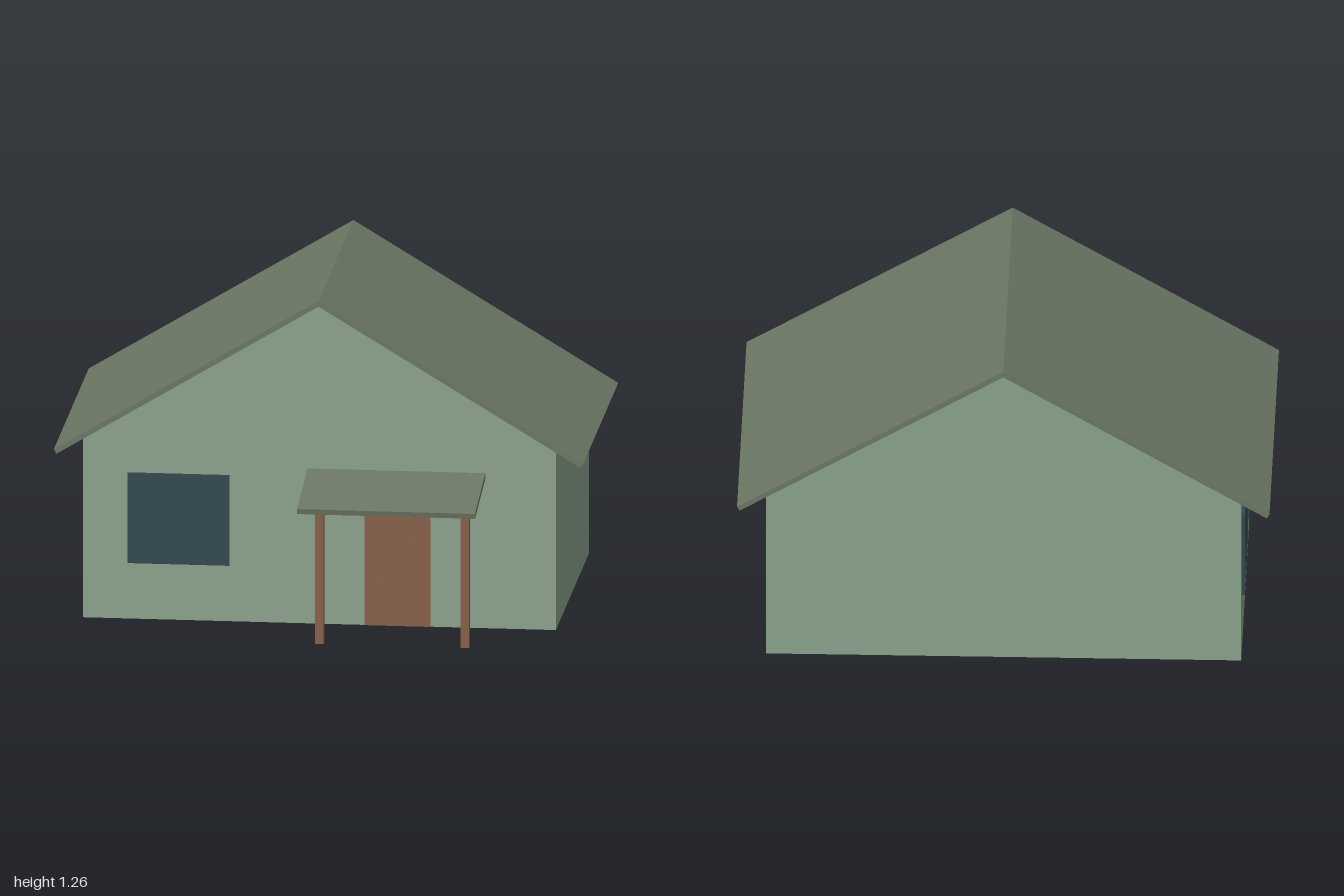
import * as THREE from 'three';

const material = (name, color) => {
  const m = new THREE.MeshStandardMaterial({ color });
  m.name = name;
  return m;
};

export function createModel() {
  const house = new THREE.Group();
  house.name = 'house';
  const wallPaint = material('sage wall', 0x8aa28b);
  const roofing = material('olive roofing', 0x6b7764);
  const wood = material('brown wood', 0x865f48);
  const glass = material('dark window', 0x2e474d);

  const add = (parent, name, geometry, mat) => {
    const mesh = new THREE.Mesh(geometry, mat);
    mesh.name = name;
    parent.add(mesh);
    return mesh;
  };

  // Box given by its minimum and maximum corners
  const box = (parent, name, [x0, y0, z0], [x1, y1, z1], mat) => {
    const mesh = add(parent, name, new THREE.BoxGeometry(x1 - x0, y1 - y0, z1 - z0), mat);
    mesh.position.set((x0 + x1) / 2, (y0 + y1) / 2, (z0 + z1) / 2);
    return mesh;
  };

  // Straight prism along z from an outline in x and y
  const prism = (points, z0, z1) => {
    const shape = new THREE.Shape(points.map(([x, y]) => new THREE.Vector2(x, y)));
    return new THREE.ExtrudeGeometry(shape, { depth: z1 - z0, bevelEnabled: false }).translate(0, 0, z0);
  };

  // Walls with gables and floor
  add(house, 'walls', prism([
    [-0.893, 0], [0.893, 0], [0.893, 0.7], [0, 1.237], [-0.893, 0.7],
  ], -0.745, 0.41), wallPaint);

  // Gabled roof
  add(house, 'mainRoof', prism([
    [0, 1.26], [-1, 0.656], [-0.99, 0.639], [0, 1.237], [0.99, 0.639], [1, 0.656],
  ], -0.776, 0.44), roofing);

  // Porch: sloping roof on two posts
  const porch = new THREE.Group();
  porch.name = 'porch';
  house.add(porch);
  const porchRoof = prism([
    [-0.41, 0.601], [-0.775, 0.537], [-0.771, 0.517], [-0.41, 0.581],
  ], -0.045, 0.627);
  add(porch, 'porchRoof', porchRoof.rotateY(Math.PI / 2).translate(0, 0, 0), roofing);
  for (const x of [0.033, 0.582]) {
    box(porch, 'porchPost', [x - 0.016, 0, 0.68], [x + 0.016, 0.536, 0.712], wood);
  }

  // Six-panel door
  const door = new THREE.Group();
  door.name = 'door';
  house.add(door);
  box(door, 'doorLeaf', [0.17, 0, 0.408], [0.42, 0.477, 0.414], wood);
  for (const x of [0.2, 0.312]) {
    for (const [y0, y1] of [[0.03, 0.18], [0.21, 0.35], [0.37, 0.45]]) {
      box(door, 'doorPanel', [x, y0, 0.413], [x + 0.08, y1, 0.416], wood);
    }
  }

  // Window built facing +z around its centre
  const makeWindow = (name, width, height) => {
    const win = new THREE.Group();
    win.name = name;
    const w = width / 2, h = height / 2;
    box(win, 'pane', [-w, -h, -0.002], [w, h, 0.007], glass);
    for (const s of [-1, 1]) {
      box(win, 'sideRail', [s * (w - 0.01) - 0.01, -h, 0], [s * (w - 0.01) + 0.01, h, 0.009], glass);
      box(win, 'crossRail', [-w, s * (h - 0.01) - 0.01, 0], [w, s * (h - 0.01) + 0.01, 0.009], glass);
    }
    box(win, 'centreRail', [-0.012, -h, 0], [0.012, h, 0.009], glass);
    house.add(win);
    return win;
  };

  makeWindow('frontWindow', 0.385, 0.35).position.set(-0.532, 0.392, 0.41);
  for (const z of [-0.435, 0.118]) {
    const win = makeWindow('sideWindow', 0.39, 0.35);
    win.rotation.y = -Math.PI / 2;
    win.position.set(-0.894, 0.392, z);
  }
  return house;
}
